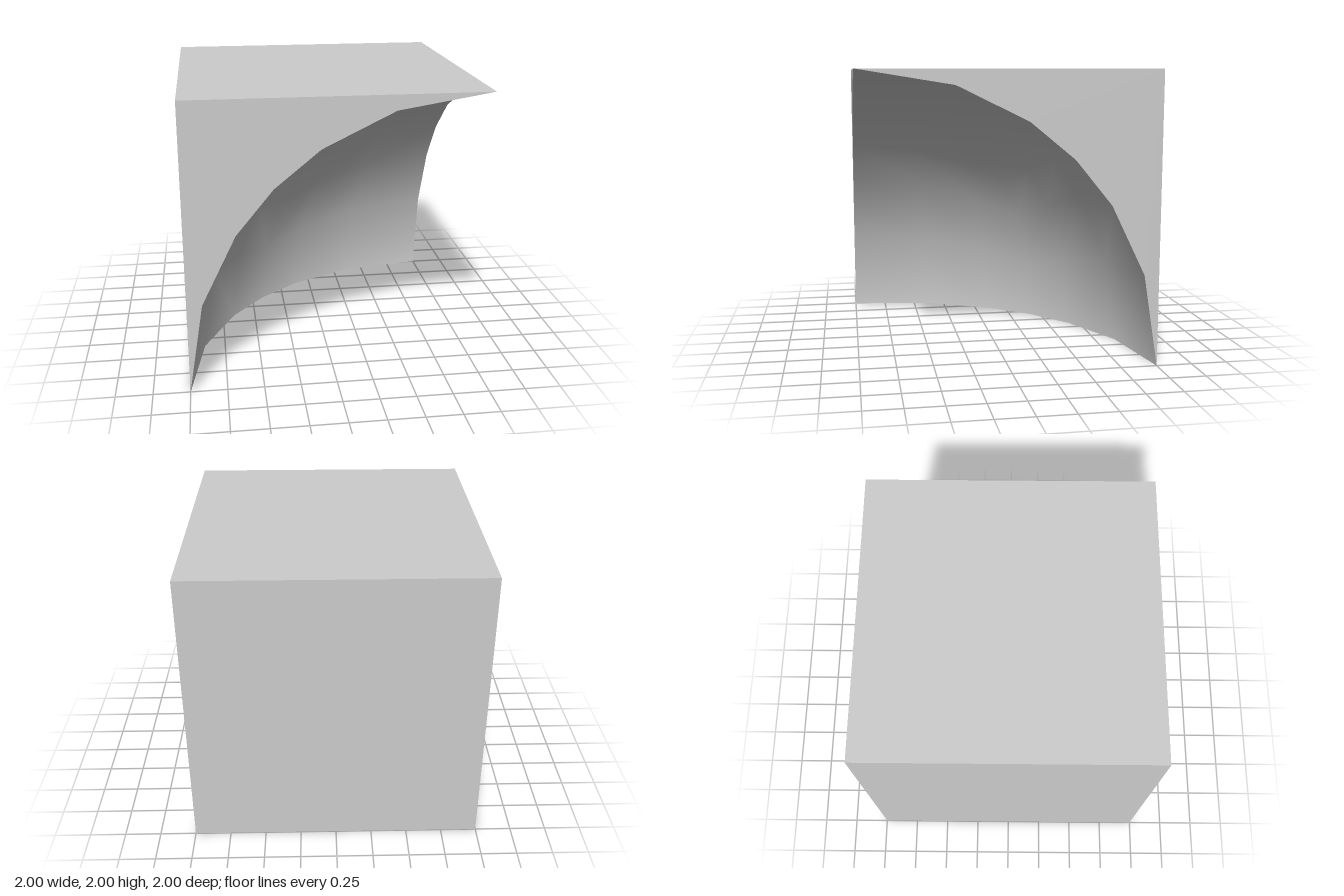
import * as THREE from 'three';

const R = 2; // cube side and hollow radius
const SEG = 3; // divisions of each hollow patch

export function createModel() {
  const stone = new THREE.MeshStandardMaterial({ color: 0xcccccc });
  stone.name = 'light grey';

  // Work in a frame with the hollow's centre at the origin and the cube filling 0..R
  const block = new THREE.Group();
  block.name = 'hollowedCube';

  // Square wall on the far side of the cube
  const wall = new THREE.PlaneGeometry(R, R).translate(R / 2, R / 2, R);

  // Wall on the near side: a square with the faceted quarter circle cut away
  const outline = [new THREE.Vector2(R, R)];
  for (let k = 0; k <= 2 * SEG; k++) {
    const p = new THREE.Vector2(Math.min(k, SEG), Math.min(2 * SEG - k, SEG));
    outline.push(p.setLength(R));
  }
  const cutWall = new THREE.ShapeGeometry(new THREE.Shape(outline));
  cutWall.applyMatrix4(new THREE.Matrix4().makeBasis( // turn over to face outwards
    new THREE.Vector3(0, 1, 0), new THREE.Vector3(1, 0, 0), new THREE.Vector3(0, 0, -1)));

  // One third of the spherical hollow: a grid pushed out to the radius, facing inwards
  const patch = new THREE.PlaneGeometry(1, 1, SEG, SEG).rotateX(Math.PI).translate(0.5, 0.5, 1);
  const pos = patch.attributes.position;
  const v = new THREE.Vector3();
  for (let i = 0; i < pos.count; i++) {
    v.fromBufferAttribute(pos, i).normalize();
    patch.attributes.normal.setXYZ(i, -v.x, -v.y, -v.z);
    pos.setXYZ(i, v.x * R, v.y * R, v.z * R);
  }

  // The three kinds of face repeat around the cube's diagonal
  const diagonal = new THREE.Vector3(1, 1, 1).normalize();
  const parts = { outerWall: wall, cutWall, hollowPatch: patch };
  for (let i = 0; i < 3; i++) {
    for (const [name, geometry] of Object.entries(parts)) {
      const mesh = new THREE.Mesh(geometry, stone);
      mesh.name = name + (i + 1);
      mesh.quaternion.setFromAxisAngle(diagonal, (i * 2 * Math.PI) / 3);
      block.add(mesh);
    }
  }

  // Open the hollow towards the front, left and bottom
  block.rotation.y = Math.PI;
  block.position.set(1, 0, 1);
  const model = new THREE.Group();
  model.name = 'cubeWithSphericalHollow';
  model.add(block);
  return model;
}
